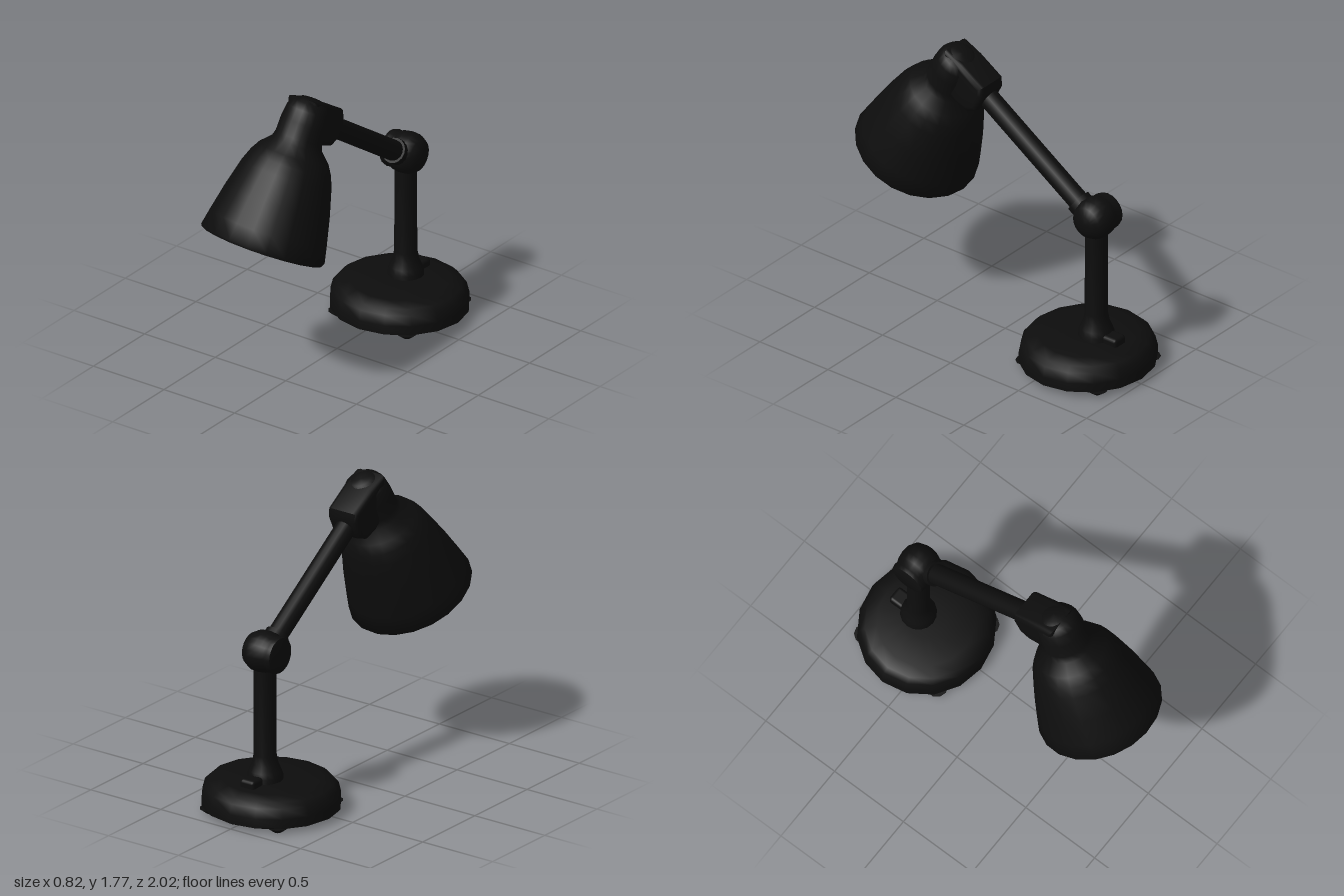
import * as THREE from 'three';
import { toCreasedNormals } from 'three/addons/utils/BufferGeometryUtils.js';
import { RoundedBoxGeometry } from 'three/addons/geometries/RoundedBoxGeometry.js';

const black = new THREE.MeshStandardMaterial({ color: 0x0d0d0d });
const UP = new THREE.Vector3(0, 1, 0);
const POST_Z = -0.67;

function part(parent, name, geometry, x = 0, y = 0, z = 0) {
  const mesh = new THREE.Mesh(geometry, black);
  mesh.name = name;
  mesh.position.set(x, y, z);
  parent.add(mesh);
  return mesh;
}

// Solid of revolution from [radius, height] pairs, keeping sharp edges
function turned(profile, segments) {
  const points = profile.map(([r, y]) => new THREE.Vector2(r, y));
  return toCreasedNormals(new THREE.LatheGeometry(points, segments), 0.9);
}

// Round rod between two points
function rod(parent, name, a, b, radius) {
  const dir = b.clone().sub(a);
  const mesh = part(parent, name, new THREE.CylinderGeometry(radius, radius, dir.length(), 16));
  mesh.position.copy(a).add(b).multiplyScalar(0.5);
  mesh.quaternion.setFromUnitVectors(UP, dir.normalize());
  return mesh;
}

export function createModel() {
  const lamp = new THREE.Group();
  lamp.name = 'deskLamp';

  // Weighted base with rounded shoulder, on four small feet
  const base = part(lamp, 'base', turned([
    [0, 0.025], [0.385, 0.025], [0.405, 0.035], [0.405, 0.09], [0.39, 0.15],
    [0.36, 0.18], [0.29, 0.2], [0.12, 0.21], [0, 0.212],
  ], 16), 0, 0, -0.61);
  base.scale.set(1.015, 1, 0.975);
  for (const x of [-0.24, 0.24])
    for (const z of [-0.35, -0.87])
      part(lamp, 'foot', new THREE.CylinderGeometry(0.065, 0.025, 0.03, 10), x, 0.015, z);

  // Post with a flared foot, and the cord inlet behind it
  part(lamp, 'post', turned([
    [0, 0.19], [0.108, 0.19], [0.105, 0.235], [0.094, 0.265], [0.077, 0.305],
    [0.067, 0.36], [0.066, 0.93], [0, 0.93],
  ], 16), 0, 0, POST_Z);
  part(lamp, 'cordInlet', new RoundedBoxGeometry(0.1, 0.09, 0.12, 2, 0.02), 0, 0.205, -0.79);

  // Elbow: domed on one side, flat knob on the other
  const elbow = part(lamp, 'elbow', turned([
    [0, -0.12], [0.05, -0.117], [0.095, -0.095], [0.12, -0.05], [0.124, 0], [0.118, 0.04],
    [0.107, 0.06], [0.112, 0.085], [0.106, 0.108], [0.09, 0.115], [0, 0.115],
  ], 20), 0, 0.99, POST_Z);
  elbow.rotation.z = Math.PI / 2;

  // Sloping arm with a short socket at the elbow
  const armStart = new THREE.Vector3(0.005, 0.98, -0.65);
  const armEnd = new THREE.Vector3(0.01, 1.535, 0.17);
  rod(lamp, 'arm', armStart, armEnd, 0.061);
  rod(lamp, 'armSocket', armStart, armStart.clone().lerp(armEnd, 0.13), 0.075);

  // Knuckle joining the arm to the shade, drawn in side profile
  const outline = [[0.36, 1.765], [0.24, 1.71], [0.085, 1.61], [0.08, 1.55],
    [0.13, 1.445], [0.2, 1.42], [0.28, 1.45], [0.4, 1.55]];
  const shape = new THREE.Shape(outline.map(([z, y]) => new THREE.Vector2(z, y)));
  const bevel = 0.03, width = 0.21;
  const knuckle = new THREE.ExtrudeGeometry(shape, {
    depth: width - 2 * bevel, bevelThickness: bevel, bevelSize: bevel,
    bevelOffset: -bevel, bevelSegments: 3,
  });
  knuckle.translate(0, 0, bevel - width / 2).rotateY(-Math.PI / 2);
  part(lamp, 'knuckle', toCreasedNormals(knuckle, 0.8), 0.014, 0, 0);

  // Tilted head: y = 0 is the rim, +y runs along the shade's axis
  const head = new THREE.Group();
  head.name = 'head';
  head.position.set(-0.035, 0.94, 0.68);
  head.quaternion.setFromUnitVectors(UP, new THREE.Vector3(0.075, 0.9, -0.44).normalize());
  lamp.add(head);

  // Double-walled shade: inside from crown to rim, then outside up to the cap
  part(head, 'shade', turned([
    [0, 0.6], [0.12, 0.6], [0.2, 0.535], [0.25, 0.44], [0.295, 0.275], [0.335, 0.11], [0.355, 0.005],
    [0.365, -0.005], [0.374, 0.008], [0.353, 0.11], [0.316, 0.275], [0.271, 0.44], [0.245, 0.505],
    [0.212, 0.56], [0.152, 0.62], [0.14, 0.66], [0.138, 0.75], [0.128, 0.825], [0.105, 0.868],
    [0.06, 0.892], [0, 0.895],
  ], 20));

  // Bulb and its holder
  part(head, 'bulbHolder', new THREE.CylinderGeometry(0.06, 0.06, 0.14, 14), 0, 0.54, 0);
  part(head, 'bulb', turned([
    [0, 0.16], [0.06, 0.175], [0.1, 0.22], [0.112, 0.28], [0.095, 0.35], [0.055, 0.43], [0.05, 0.5],
  ], 16));

  return lamp;
}
